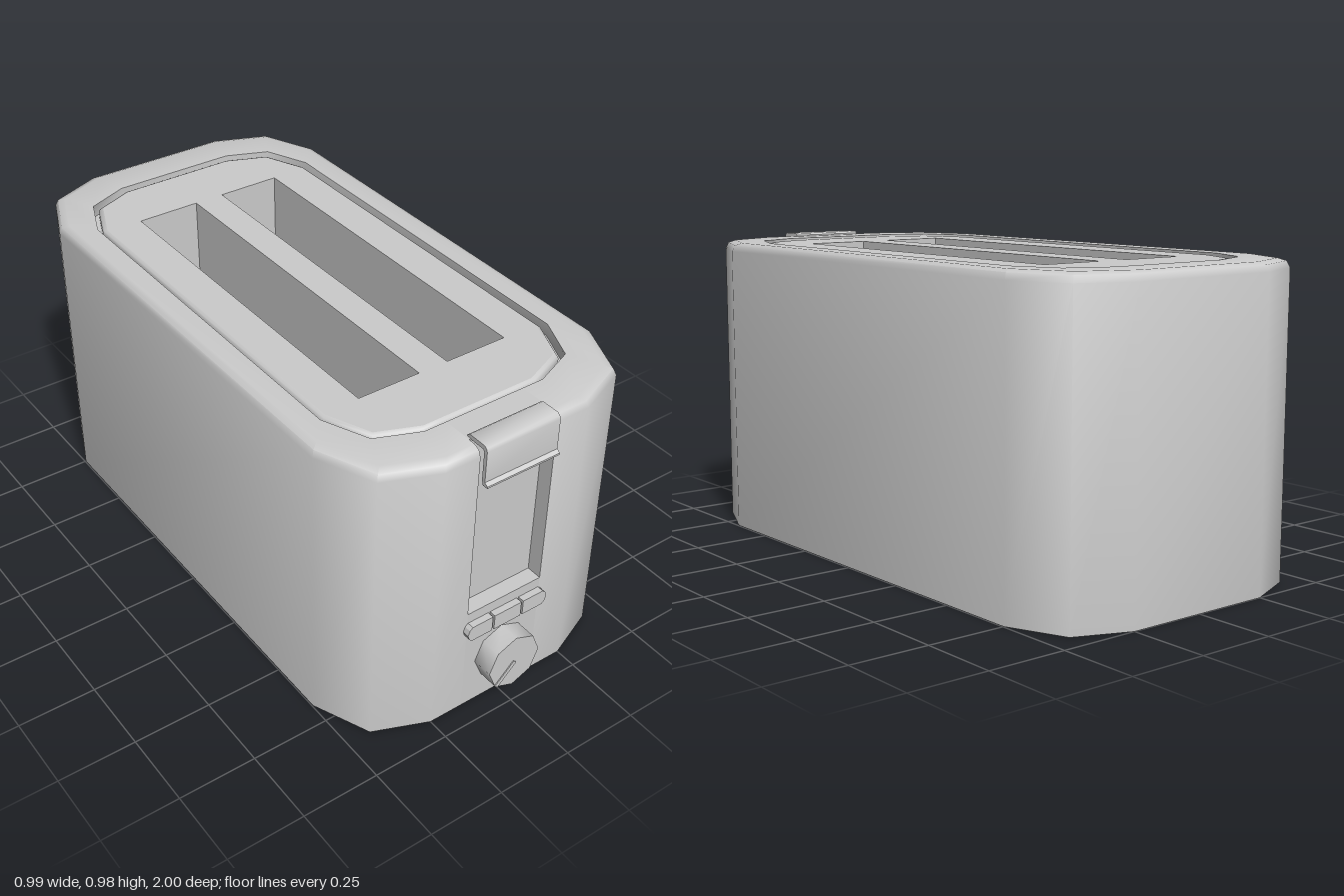
import * as THREE from 'three';
import { toCreasedNormals } from 'three/addons/utils/BufferGeometryUtils.js';

const NOTCH = 0.135; // half width of the lever recess
const RECESS_Z = 0.88;
const TOP = 0.965;
const grey = new THREE.MeshStandardMaterial({ color: 0xcccccc });
const greyDouble = new THREE.MeshStandardMaterial({ color: 0xcccccc, side: THREE.DoubleSide });

// Plan outline with chamfered corners, as [x, z], from the right of the notch round the back to its left
function outline(hx, back, front, s) {
  const half = [
    [NOTCH, front], [hx - 0.247 * s, front], [hx - 0.077 * s, front - 0.07 * s], [hx, front - 0.25 * s],
    [hx, back + 0.25 * s], [hx - 0.077 * s, back + 0.07 * s], [hx - 0.247 * s, back],
  ];
  return [...half, ...half.map(([x, z]) => [-x, z]).reverse()];
}
const bodyLoop = (inset) => outline(0.497 - inset, -1 + inset, 0.93 - inset, 1 - inset);
const panelLoop = (inset) => outline(0.39 - inset, -0.845 + inset, 0.77 - inset, 0.77 - inset);

// Skin over plan outlines stacked as [loop, y]
function skin(rings, closed) {
  const n = rings[0][0].length;
  const pos = [], idx = [];
  for (const [loop, y] of rings) for (const [x, z] of loop) pos.push(x, y, z);
  for (let i = 0; i < rings.length - 1; i++) {
    for (let j = 0; j < (closed ? n : n - 1); j++) {
      const a = i * n + j, b = i * n + (j + 1) % n;
      idx.push(a, b, b + n, a, b + n, a + n);
    }
  }
  const g = new THREE.BufferGeometry();
  g.setAttribute('position', new THREE.Float32BufferAttribute(pos, 3));
  g.setIndex(idx);
  return toCreasedNormals(g, 0.9);
}

const toShape = (pts) => new THREE.Shape(pts.map(([x, y]) => new THREE.Vector2(x, y)));

export function createModel() {
  const group = new THREE.Group();
  const add = (name, geometry, x = 0, y = 0, z = 0, material = grey) => {
    const mesh = new THREE.Mesh(geometry, material);
    mesh.name = name;
    mesh.position.set(x, y, z);
    group.add(mesh);
    return mesh;
  };

  // Outer shell with rounded top edge and flat rim, open at the lever recess
  const grooveOuter = outline(0.405, -0.858, 0.785, 0.8);
  add('shell', skin([
    [bodyLoop(0), 0], [bodyLoop(0), 0.937], [bodyLoop(0.008), 0.957], [bodyLoop(0.028), TOP], [grooveOuter, TOP],
  ], false));
  add('base', new THREE.ShapeGeometry(toShape(bodyLoop(0))).rotateX(Math.PI / 2));

  // Groove and the raised edge of the top panel
  add('panelGroove', skin([
    [grooveOuter, TOP], [grooveOuter, 0.925], [panelLoop(0), 0.925],
    [panelLoop(0), 0.948], [panelLoop(0.004), 0.956], [panelLoop(0.012), 0.96],
  ], true));

  // Top panel with two bread slots
  const panel = toShape(panelLoop(0.012).map(([x, z]) => [x, -z]));
  const zBack = -0.635, zFront = 0.56, floor = 0.25;
  for (const side of [-1, 1]) {
    const cx = side * 0.155, w = 0.105;
    const rect = [[cx + w, zFront], [cx + w, zBack], [cx - w, zBack], [cx - w, zFront]];
    panel.holes.push(new THREE.Path(rect.map(([x, z]) => new THREE.Vector2(x, -z))));
    add('slotWalls', skin([[rect, 0.96], [rect, floor]], true));
    add('slotFloor', new THREE.PlaneGeometry(2 * w, zFront - zBack).rotateX(-Math.PI / 2),
      cx, floor, (zFront + zBack) / 2);
  }
  add('topPanel', new THREE.ShapeGeometry(panel).rotateX(-Math.PI / 2), 0, 0.96, 0);

  // Front recess for the lever: lower front, back, ledge, cheeks and rim behind it
  const ledge = 0.37;
  add('lowerFront', new THREE.PlaneGeometry(2 * NOTCH, ledge), 0, ledge / 2, 0.93);
  add('recessBack', new THREE.PlaneGeometry(2 * NOTCH, TOP - ledge), 0, (TOP + ledge) / 2, RECESS_Z);
  add('recessLedge', new THREE.PlaneGeometry(2 * NOTCH, 0.93 - RECESS_Z).rotateX(-Math.PI / 2),
    0, ledge, (0.93 + RECESS_Z) / 2);
  add('recessRim', new THREE.PlaneGeometry(2 * NOTCH, RECESS_Z - 0.785).rotateX(-Math.PI / 2),
    0, TOP, (RECESS_Z + 0.785) / 2);
  const cheek = toShape([[RECESS_Z, ledge], [0.93, ledge], [0.93, 0.937], [0.922, 0.957], [0.902, TOP], [RECESS_Z, TOP]]);
  for (const side of [-1, 1]) {
    add('recessCheek', new THREE.ShapeGeometry(cheek).rotateY(-Math.PI / 2), side * NOTCH, 0, 0, greyDouble);
  }

  // Lever: bent plate hooked over the rim, flared at its lower lip
  const lever = toShape([
    [0.866, 0.962], [0.93, 0.962], [0.935, 0.955], [0.935, 0.862], [0.94, 0.846], [0.958, 0.846],
    [0.958, 0.852], [0.947, 0.86], [0.947, 0.96], [0.943, 0.97], [0.934, 0.976], [0.875, 0.976], [0.866, 0.97],
  ]);
  add('lever', toCreasedNormals(
    new THREE.ExtrudeGeometry(lever, { depth: 0.256, bevelEnabled: false }).translate(0, 0, -0.128).rotateY(-Math.PI / 2), 0.8));

  // Row of three buttons
  const button = (name, pts) => add(name,
    new THREE.ExtrudeGeometry(toShape(pts), { depth: 0.025, bevelEnabled: false }), 0, 0.309, 0.927);
  button('middleButton', [[-0.05, -0.026], [0.05, -0.026], [0.05, 0.026], [-0.05, 0.026]]);
  const end = [[0.057, -0.026], [0.132, -0.026], [0.142, -0.017], [0.148, 0], [0.142, 0.017], [0.132, 0.026], [0.057, 0.026]];
  button('leftButton', end);
  button('rightButton', end.map(([x, y]) => [-x, y]).reverse());

  // Eight-sided browning knob with pointer
  add('knob', toCreasedNormals(new THREE.CylinderGeometry(0.094, 0.094, 0.07, 8).rotateX(Math.PI / 2), 0.9), 0, 0.16, 0.962);
  const pointer = add('knobPointer', new THREE.BoxGeometry(0.094, 0.014, 0.01), -0.032, 0.128, 0.995);
  pointer.rotation.z = Math.PI / 4;

  return group;
}
